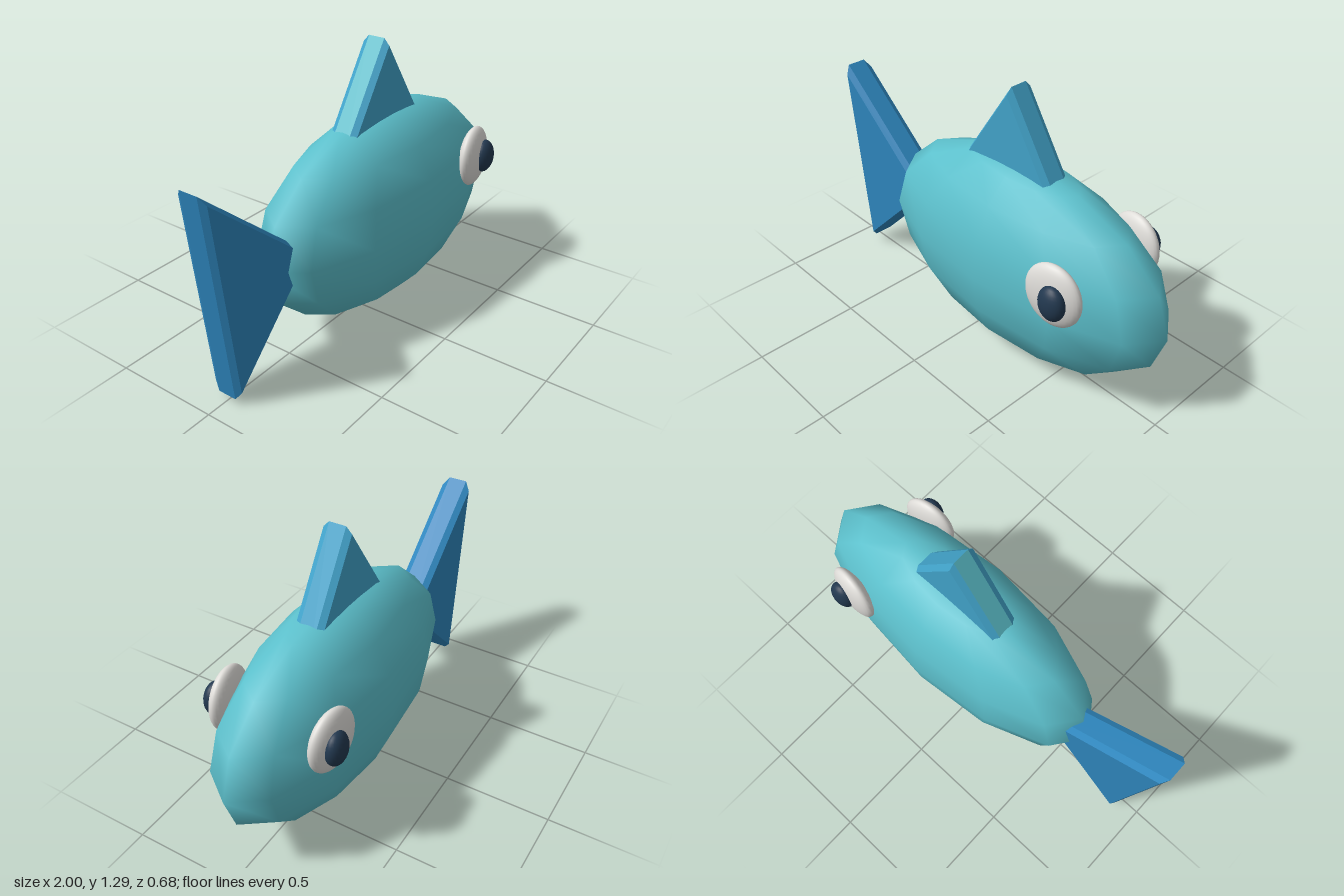
import * as THREE from 'three';

const mat = (name, color) => {
  const m = new THREE.MeshStandardMaterial({ color });
  m.name = name;
  return m;
};

function ellipsoid(name, material, pos, radii, w, h) {
  const mesh = new THREE.Mesh(new THREE.SphereGeometry(1, w, h), material);
  mesh.name = name;
  mesh.position.set(...pos);
  mesh.scale.set(...radii);
  return mesh;
}

// Triangular plate with chamfered rims; corners run counter-clockwise.
// Group 0 is the plate, group 1 the flat rim of the edge numbered accentEdge.
function finGeometry(corners, flat, full, inset, accentEdge = -1) {
  const [A, B, C] = corners.map(c => new THREE.Vector2(...c));
  const a = B.distanceTo(C), b = C.distanceTo(A), c = A.distanceTo(B), p = a + b + c;
  const centre = new THREE.Vector2()
    .addScaledVector(A, a / p).addScaledVector(B, b / p).addScaledVector(C, c / p);
  const inradius = Math.abs(B.clone().sub(A).cross(C.clone().sub(A))) / p;
  const ring = (z, d) => [A, B, C].map(v => {
    const q = centre.clone().lerp(v, 1 - d / inradius);
    return [q.x, q.y, z];
  });
  const rings = [ring(-full, inset), ring(-flat, 0), ring(flat, 0), ring(full, inset)];
  const main = [], accent = [];
  main.push(...rings[3], ...[...rings[0]].reverse());
  for (let r = 0; r < 3; r++) {
    for (let i = 0; i < 3; i++) {
      const j = (i + 1) % 3, lo = rings[r], hi = rings[r + 1];
      const out = r === 1 && i === accentEdge ? accent : main;
      out.push(lo[i], lo[j], hi[j], lo[i], hi[j], hi[i]);
    }
  }
  const geo = new THREE.BufferGeometry();
  geo.setAttribute('position', new THREE.Float32BufferAttribute([...main, ...accent].flat(), 3));
  geo.addGroup(0, main.length, 0);
  if (accent.length) geo.addGroup(main.length, accent.length, 1);
  geo.computeVertexNormals();
  return geo;
}

export function createModel() {
  const teal = mat('body teal', 0x5cc0cc);
  const finBlue = mat('fin blue', 0x42a4cb);
  const tailBlue = mat('tail blue', 0x2e86bd);
  const white = mat('eye white', 0xdedcd8);
  const navy = mat('pupil navy', 0x22384f);

  const fish = new THREE.Group();
  fish.name = 'fish';

  // Faceted but smoothly shaded body
  fish.add(ellipsoid('body', teal, [0.19, 0.478, 0], [0.81, 0.478, 0.3], 12, 8));

  // Back fin, its trailing rim in the body colour
  const fin = new THREE.Mesh(
    finGeometry([[-0.145, 0.85], [0.43, 0.85], [0.147, 1.29]], 0.04, 0.067, 0.016, 2),
    [finBlue, teal]);
  fin.name = 'backFin';
  fish.add(fin);

  // Tail
  const tail = new THREE.Mesh(
    finGeometry([[-1, 1], [-0.89, 0.027], [-0.42, 0.505]], 0.045, 0.073, 0.016),
    [tailBlue]);
  tail.name = 'tail';
  fish.add(tail);

  // Eyes, turned slightly to follow the body
  for (const s of [1, -1]) {
    const eye = new THREE.Group();
    eye.name = s > 0 ? 'frontEye' : 'rearEye';
    const ball = ellipsoid('eyeball', white, [0.615, 0.622, s * 0.253], [0.136, 0.149, 0.05], 32, 20);
    ball.rotation.y = s * 0.12;
    eye.add(ball, ellipsoid('pupil', navy, [0.645, 0.622, s * 0.295], [0.065, 0.081, 0.045], 24, 16));
    fish.add(eye);
  }
  return fish;
}
